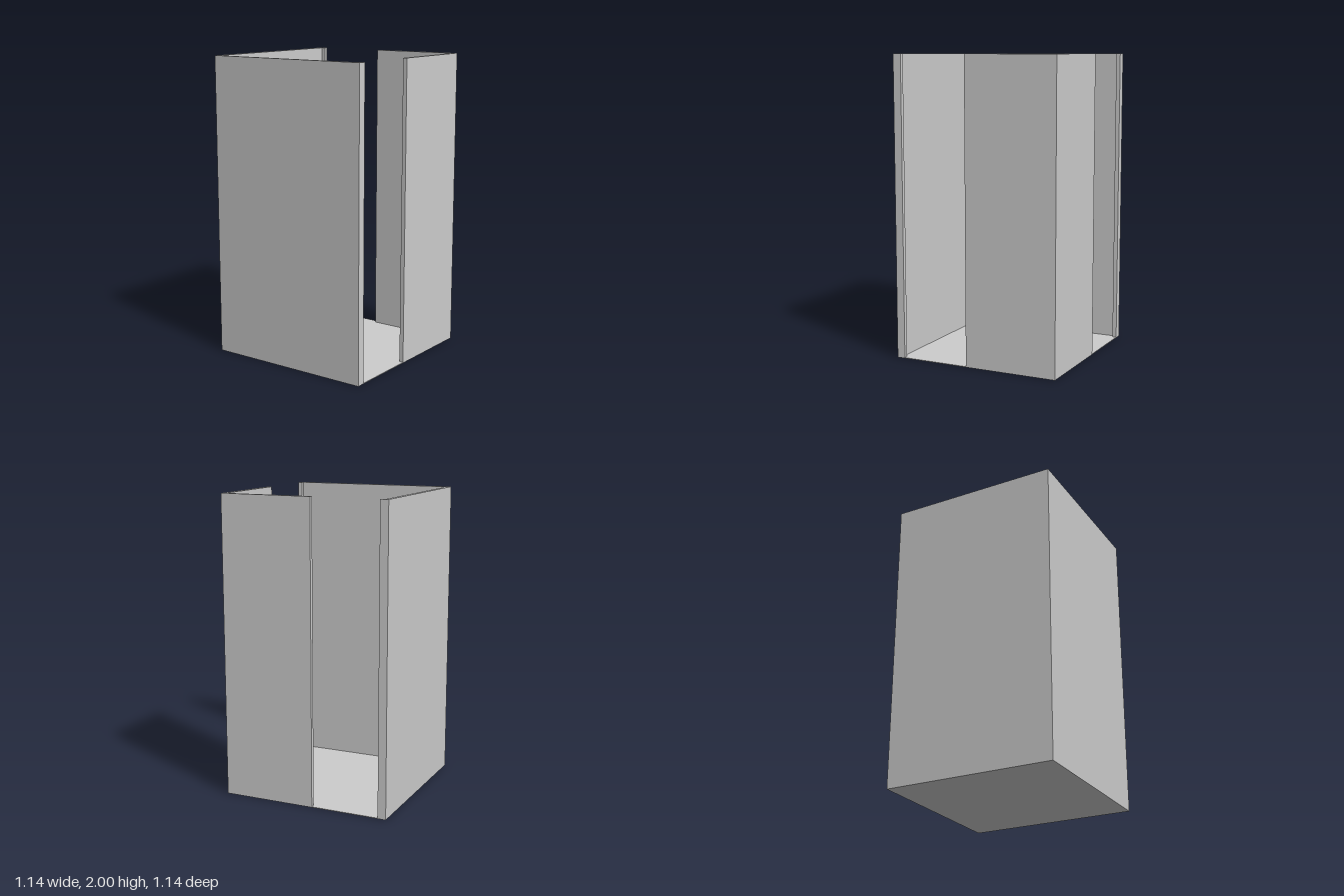
import * as THREE from 'three';

const HALF = 0.57;      // half the footprint
const HEIGHT = 2;
const WALL = 0.028;     // wall thickness
const FLOOR = 0.004;    // thin floor sheet
const STUB = 0.055;     // short return beside each doorway
const DOOR_EDGE = -0.055; // where the front and side panels start

export function createModel() {
  const group = new THREE.Group();
  const material = new THREE.MeshStandardMaterial({ color: 0xcccccc, flatShading: true });

  // Box given by its extents in x, y and z
  const addBox = (name, [x0, x1], [y0, y1], [z0, z1]) => {
    const mesh = new THREE.Mesh(new THREE.BoxGeometry(x1 - x0, y1 - y0, z1 - z0), material);
    mesh.position.set((x0 + x1) / 2, (y0 + y1) / 2, (z0 + z1) / 2);
    mesh.name = name;
    group.add(mesh);
  };

  const rise = [FLOOR, HEIGHT];
  const low = [-HALF, -HALF + WALL];
  const high = [HALF - WALL, HALF];

  addBox('floor', [-HALF, HALF], [0, FLOOR], [-HALF, HALF]);

  // Two full walls meeting at the back corner
  addBox('backWall', [-HALF, HALF], rise, low);
  addBox('rightWall', low, rise, [-HALF + WALL, HALF]);

  // Front side: short return, doorway, panel
  addBox('frontReturn', [-HALF + WALL, -HALF + STUB], rise, high);
  addBox('frontPanel', [DOOR_EDGE, HALF], rise, high);

  // Left side: short return, doorway, panel
  addBox('leftReturn', high, rise, [-HALF + WALL, -HALF + STUB]);
  addBox('leftPanel', high, rise, [DOOR_EDGE, HALF - WALL]);

  return group;
}
